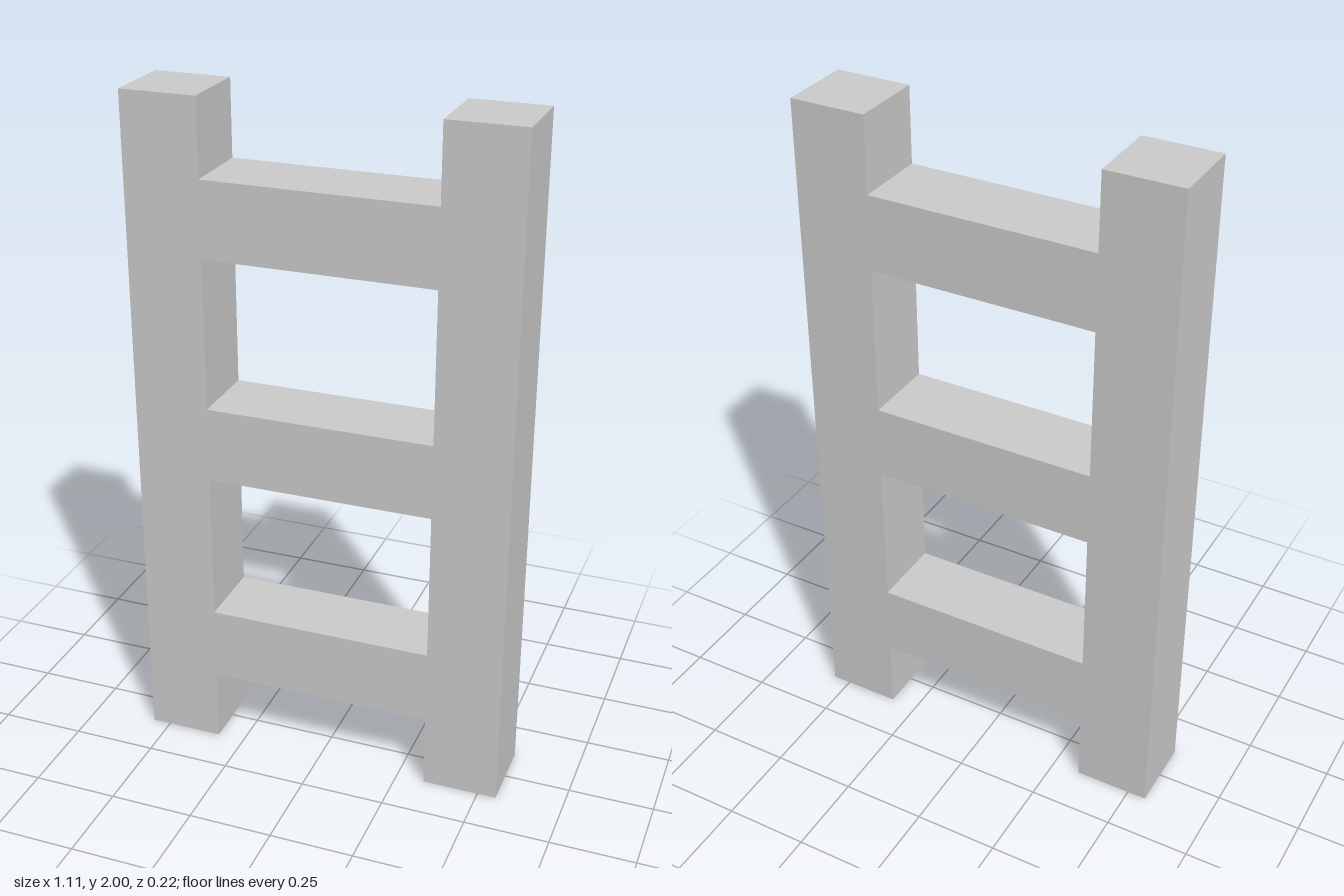
import * as THREE from 'three';

const U = 2 / 9; // beam thickness; the ladder is 9 beams tall and 5 wide

export function createModel() {
  const ladder = new THREE.Group();
  ladder.name = 'ladder';
  const material = new THREE.MeshStandardMaterial({ color: 0xcccccc, flatShading: true });

  // Square beam, measured in beam thicknesses
  function addBeam(name, width, height, x, y) {
    const mesh = new THREE.Mesh(new THREE.BoxGeometry(width * U, height * U, U), material);
    mesh.name = name;
    mesh.position.set(x * U, y * U, 0);
    ladder.add(mesh);
  }

  // Two upright rails
  addBeam('leftRail', 1, 9, 2, 4.5);
  addBeam('rightRail', 1, 9, -2, 4.5);

  // Three evenly spaced rungs between the rails
  ['lowerRung', 'middleRung', 'upperRung'].forEach((name, i) => {
    addBeam(name, 3, 1, 0, 1.5 + 3 * i);
  });

  return ladder;
}
